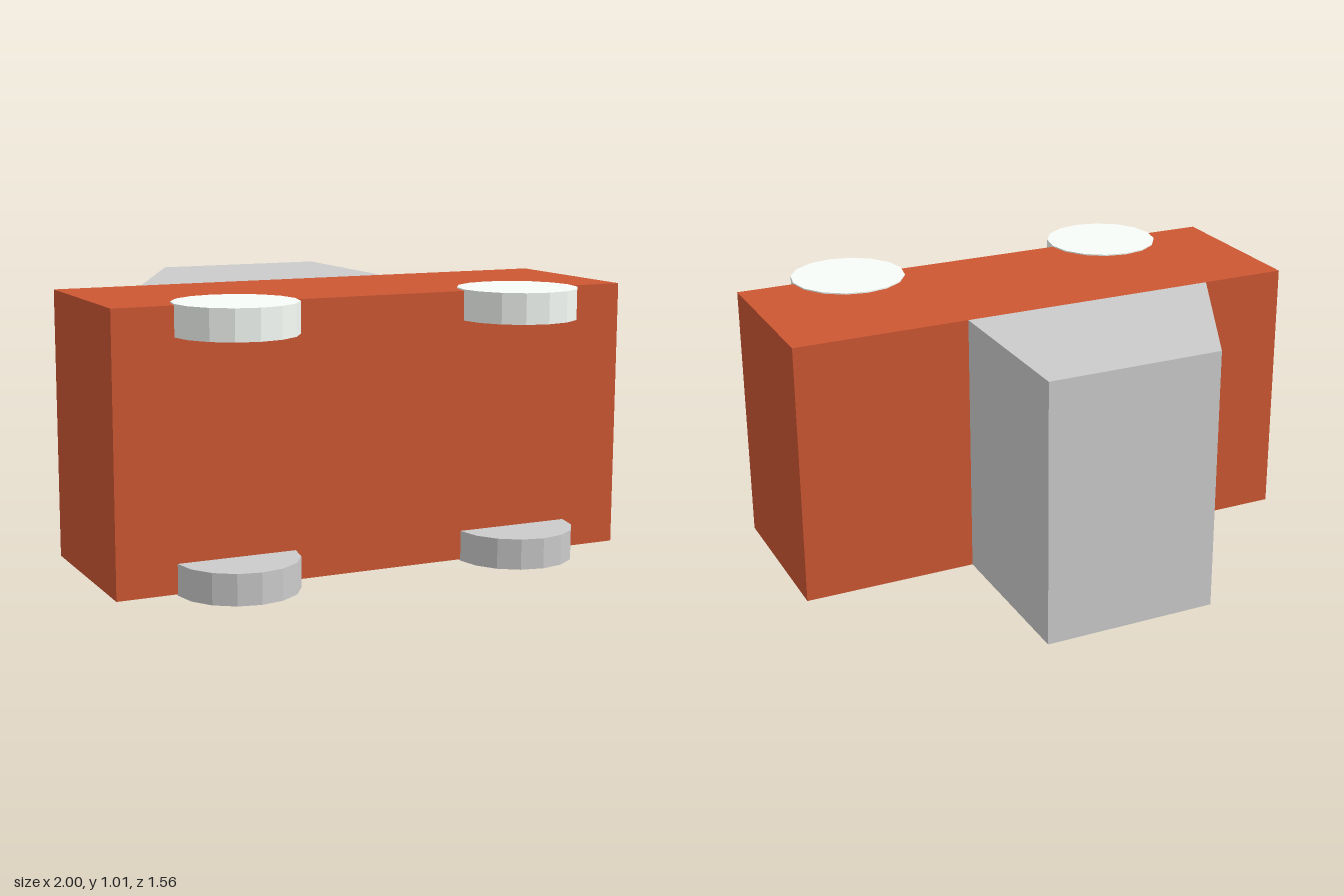
import * as THREE from 'three';

const paint = (color) => new THREE.MeshStandardMaterial({ color, flatShading: true });

// Toy car lying on its side: its width runs along y, its wheels point to +z
export function createModel() {
  const car = new THREE.Group();
  car.name = 'toyCar';
  const grey = paint(0xcccccc);
  const white = paint(0xf8fdf8);
  const red = paint(0xce5732);

  const low = 0.005, width = 1.0, total = 1.01;

  const add = (name, geometry, material, x, y, z) => {
    const mesh = new THREE.Mesh(geometry, material);
    mesh.name = name;
    mesh.position.set(x, y, z);
    car.add(mesh);
  };

  // Lower body
  add('body', new THREE.BoxGeometry(2, width, 0.667), red, 0, low + width / 2, 0.222);

  // Cabin with one sloping end, outline drawn in x and -z
  const outline = new THREE.Shape([
    new THREE.Vector2(-0.667, 0.111),
    new THREE.Vector2(0.333, 0.111),
    new THREE.Vector2(0.333, 0.778),
    new THREE.Vector2(-0.333, 0.778),
  ]);
  const cabin = new THREE.ExtrudeGeometry(outline, { depth: width, bevelEnabled: false });
  cabin.rotateX(-Math.PI / 2);
  add('cabin', cabin, grey, 0, low, 0);

  // Wheels, standing just proud of the body sides
  const thick = 0.113;
  const wheel = new THREE.CylinderGeometry(0.222, 0.222, thick, 16);
  for (const x of [-0.556, 0.556]) {
    const end = x < 0 ? 'Left' : 'Right';
    add('lowerWheel' + (x < 0 ? 'Right' : 'Left'), wheel, grey, x, thick / 2, 0.556);
    add('upperWheel' + (x < 0 ? 'Right' : 'Left'), wheel, white, x, total - thick / 2, 0.556);
  }
  return car;
}
